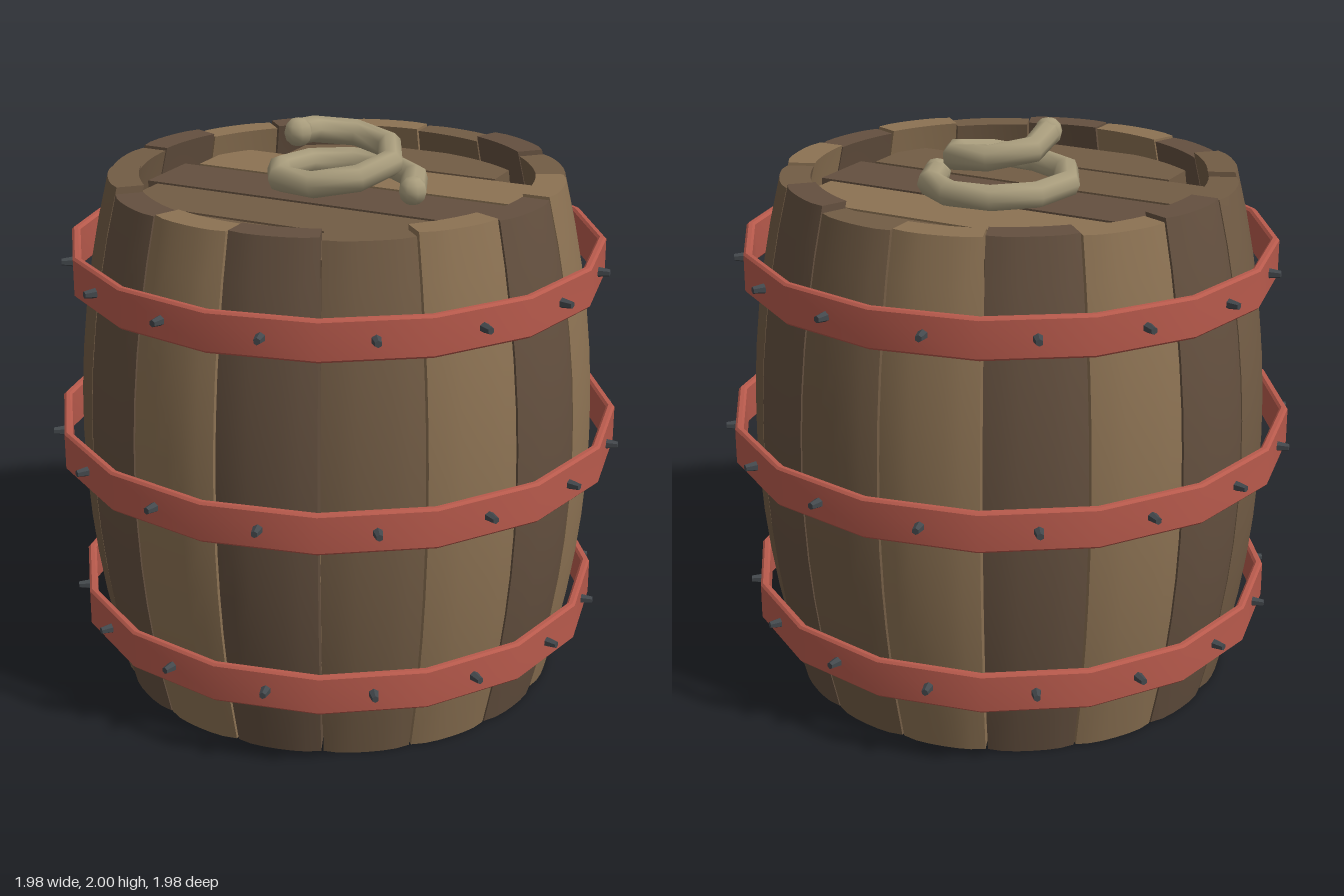
import * as THREE from 'three';
import { toCreasedNormals } from 'three/addons/utils/BufferGeometryUtils.js';

const SIDES = 16;
const STEP = (Math.PI * 2) / SIDES;
const HEIGHT = 1.81;

const paint = (color) => new THREE.MeshStandardMaterial({ color });
const DARK = paint(0x64503f);
const MEDIUM = paint(0x725c45);
const LIGHT = paint(0x8c7253);
const RED = paint(0xb85a4c);
const IRON = paint(0x43484c);
const ROPE = paint(0xa89c7c);

function add(parent, name, geometry, material) {
  const mesh = new THREE.Mesh(geometry, material);
  mesh.name = name;
  parent.add(mesh);
  return mesh;
}

// Outer radius of the bulging wall at height y
const wallRadius = (y) => 0.9 - 0.118 * ((y - 0.905) / 0.905) ** 2;

// One stave: a box bent around the axis, bulged, with softened long edges
function staveGeometry(mid, top) {
  const geo = new THREE.BoxGeometry(1, 1, 1, 6, 12, 1);
  const p = geo.attributes.position;
  for (let i = 0; i < p.count; i++) {
    const u = p.getX(i), y = (p.getY(i) + 0.5) * top, outer = p.getZ(i) > 0;
    const theta = mid + u * (STEP - 0.01);
    const soften = 0.012 * Math.abs(u * 2) ** 4;
    const r = wallRadius(y) - (outer ? soften : 0.105);
    p.setXYZ(i, r * Math.sin(theta), y, r * Math.cos(theta));
  }
  return toCreasedNormals(geo, 0.6);
}

function makeStaves() {
  const group = new THREE.Group();
  group.name = 'staves';
  const tones = [DARK, LIGHT, MEDIUM, DARK, LIGHT, DARK, MEDIUM, MEDIUM,
    DARK, LIGHT, DARK, LIGHT, MEDIUM, DARK, MEDIUM, LIGHT];
  tones.forEach((tone, k) => {
    const mid = Math.PI / 2 - (k + 0.5) * STEP;
    const top = HEIGHT + [0, 0.008, -0.004, 0.004, 0, -0.006, 0.015][k % 7];
    add(group, 'stave', staveGeometry(mid, top), tone);
  });
  return group;
}

// Five parallel planks closing one end of the barrel
function makeHead(name, y) {
  const group = new THREE.Group();
  group.name = name;
  const halfLengths = [0.41, 0.63, 0.68, 0.63, 0.41];
  const tones = [MEDIUM, LIGHT, DARK, MEDIUM, MEDIUM];
  halfLengths.forEach((half, i) => {
    const plank = add(group, 'headPlank', new THREE.BoxGeometry(half * 2, 0.06, 0.257), tones[i]);
    plank.position.set(0, y, (i - 2) * 0.277 - 0.005);
  });
  return group;
}

// Flat band with slightly bevelled edges and a rivet in the middle of each side
function makeHoop(y, radius) {
  const group = new THREE.Group();
  group.name = 'hoop';
  group.position.y = y;
  const inner = radius - 0.03, h = 0.07, b = 0.008;
  const profile = [
    [inner + b, -h], [radius - b, -h], [radius, b - h], [radius, h - b],
    [radius - b, h], [inner + b, h], [inner, h - b], [inner, b - h], [inner + b, -h],
  ].map(([r, v]) => new THREE.Vector2(r, v));
  add(group, 'band', toCreasedNormals(new THREE.LatheGeometry(profile, SIDES), 0.6), RED);

  const rivetGeo = toCreasedNormals(new THREE.CylinderGeometry(0.012, 0.02, 0.055, 6), 0.4);
  rivetGeo.rotateX(Math.PI / 2);
  const flat = radius * Math.cos(STEP / 2);
  for (let k = 0; k < SIDES; k++) {
    const a = (k + 0.5) * STEP;
    const rivet = add(group, 'rivet', rivetGeo, IRON);
    rivet.position.set(Math.sin(a) * (flat + 0.012), 0, Math.cos(a) * (flat + 0.012));
    rivet.rotation.y = a;
  }
  return group;
}

// Loose coil of rope that widens as it sinks onto the lid
function makeRope() {
  const group = new THREE.Group();
  group.name = 'rope';
  // angle in degrees, radius, height
  const keys = [[150, 0.14, 1.95], [270, 0.185, 1.90], [360, 0.19, 1.86],
    [450, 0.2, 1.81], [540, 0.225, 1.795], [630, 0.25, 1.785], [720, 0.275, 1.775]];
  const segments = 13;
  const points = [];
  for (let i = 0; i <= segments; i++) {
    const deg = 150 + (570 * i) / segments;
    const n = Math.min(keys.findIndex((k) => k[0] >= deg - 1e-6) || 1, keys.length - 1);
    const [a0, r0, y0] = keys[n - 1], [a1, r1, y1] = keys[n];
    const t = (deg - a0) / (a1 - a0);
    const r = r0 + (r1 - r0) * t, a = THREE.MathUtils.degToRad(deg);
    points.push(new THREE.Vector3(r * Math.cos(a), y0 + (y1 - y0) * t, r * Math.sin(a) - 0.02));
  }
  const curve = new THREE.CatmullRomCurve3(points);
  add(group, 'coil', new THREE.TubeGeometry(curve, segments, 0.046, 8), ROPE);
  for (const end of [points[0], points[segments]]) {
    add(group, 'ropeEnd', new THREE.SphereGeometry(0.05, 8, 6), ROPE).position.copy(end);
  }
  return group;
}

export function createModel() {
  const model = new THREE.Group();
  model.name = 'barrel';
  model.add(makeStaves(), makeHead('lid', 1.70), makeHead('bottom', 0.11));
  for (const [y, radius] of [[0.3, 0.925], [0.91, 0.985], [1.53, 0.925]]) {
    model.add(makeHoop(y, radius));
  }
  model.add(makeRope());
  return model;
}
